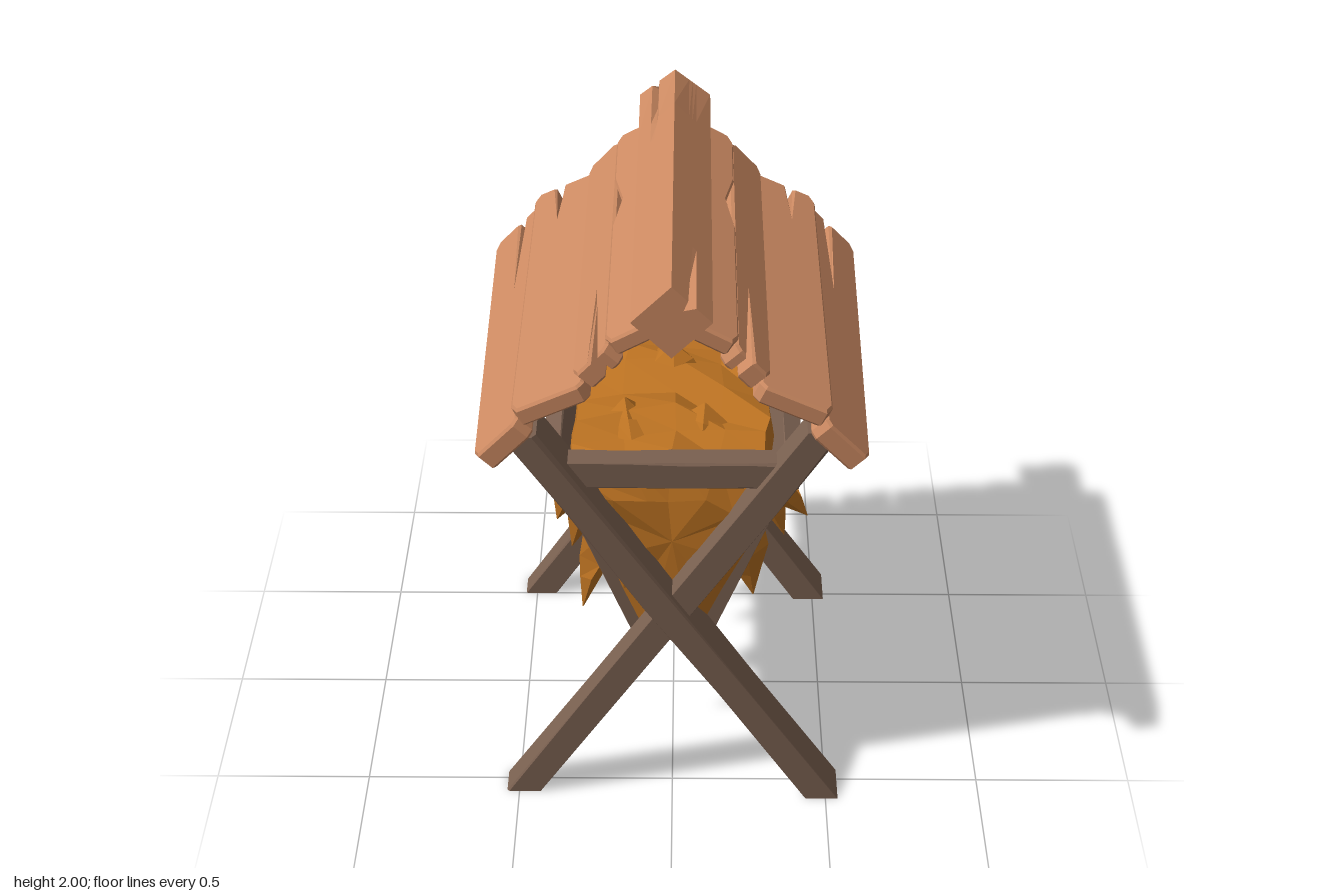
import * as THREE from 'three';

const V = (x, y, z) => new THREE.Vector3(x, y, z);
const mat = (color) => new THREE.MeshStandardMaterial({ color, flatShading: true });
const roofMat = mat(0xcc8a62), frameMat = mat(0x7a6050), hayMat = mat(0xbd7322);

let seed = 7;
const rnd = () => (seed = (seed * 16807) % 2147483647) / 2147483647;
const jit = (a) => (rnd() * 2 - 1) * a;

// Closed faceted skin over rings with equal point counts, always facing outwards
function loft(rings) {
  const tris = [], n = rings[0].length;
  for (let i = 0; i < rings.length - 1; i++) for (let j = 0; j < n; j++) {
    const k = (j + 1) % n, a = rings[i], b = rings[i + 1];
    tris.push([a[j], a[k], b[k]], [a[j], b[k], b[j]]);
  }
  const cap = (r, flip) => {
    const c = r.reduce((s, p) => s.add(p), V(0, 0, 0)).divideScalar(n);
    r.forEach((p, j) => {
      const q = r[(j + 1) % n];
      tris.push(flip ? [c, q, p] : [c, p, q]);
    });
  };
  cap(rings[0], true);
  cap(rings[rings.length - 1], false);
  const o = rings[0][0];
  let vol = 0;
  for (const [a, b, c] of tris)
    vol += a.clone().sub(o).dot(b.clone().sub(o).cross(c.clone().sub(o)));
  const pts = tris.flatMap(([a, b, c]) => (vol < 0 ? [a, c, b] : [a, b, c]));
  const g = new THREE.BufferGeometry().setFromPoints(pts);
  g.computeVertexNormals();
  return g;
}

function add(parent, name, geo, material) {
  const m = new THREE.Mesh(geo, material);
  m.name = name;
  parent.add(m);
}

// Timber from p to q with half-axes u and v, and hand-cut chamfers of varying depth
function bar(p, q, u, v, chip = 0.3) {
  const corners = [[1, 1], [-1, 1], [-1, -1], [1, -1]];
  return loft([0, 0.3, 0.55, 0.8, 1].map((t) => {
    const c = p.clone().lerp(q, t), ring = [];
    corners.forEach(([a, b], i) => {
      const k = 0.03 + (rnd() > 0.55 ? rnd() * chip : 0);
      const cut = [[a, b * (1 - k)], [a * (1 - k), b]];
      if (i % 2) cut.reverse();
      for (const [s, w] of cut) ring.push(c.clone().addScaledVector(u, s).addScaledVector(v, w));
    });
    return ring;
  }));
}

// Roof board: a split outline, extruded, sloped from its upper edge (x, y)
// flare widens the back end; splits are [position across, end, length]
function plank(s, { x, y, w, slope, t, half, flare = 0, front = [], back = [], bite }) {
  const c = 0.02, h = half, wb = w + flare;
  const pts = [[c, -h], ...back.flatMap(([u, len]) => [[u - 0.014, -h], [u, -h + len], [u + 0.014, -h]]),
    [wb - c, -h], [wb, -h + c * 2]];
  if (bite) pts.push([w, bite[0]], [w - 0.03, (bite[0] + bite[1]) / 2], [w, bite[1]]);
  pts.push([w, h - c * 2], [w - c, h],
    ...front.flatMap(([u, len]) => [[u + 0.014, h], [u, h - len], [u - 0.014, h]]),
    [c, h], [0, h - c], [0, -h + c]);
  const g = new THREE.ExtrudeGeometry(
    new THREE.Shape(pts.map(([u, z]) => new THREE.Vector2(u * s, z))),
    { depth: t - 0.016, bevelEnabled: true, bevelThickness: 0.008, bevelSize: 0.008, bevelOffset: -0.008, bevelSegments: 1 });
  g.translate(0, 0, 0.008).rotateX(Math.PI / 2).rotateZ(-s * slope).translate(s * x, y, 0);
  return g;
}

// Hanging hay clump: narrow root, wide belly, sharp tip
function tuft(root, belly, tip, depth, width) {
  const ring = (p, k) => [0, 1, 2, 3, 4].map((i) => {
    const a = (i / 5) * Math.PI * 2 + 0.3;
    return V(p.x + Math.cos(a) * depth * k, p.y + jit(0.04) * k, p.z + Math.sin(a) * width * k * (1 + jit(0.2)));
  });
  return loft([ring(root, 0.5), ring(root.clone().lerp(belly, 0.55), 0.9), ring(belly, 1),
    ring(belly.clone().lerp(tip, 0.5), 0.55), ring(tip, 0.02)]);
}

export function createModel() {
  const model = new THREE.Group();
  model.name = 'hayFeeder';
  const group = (name) => {
    const g = new THREE.Group();
    g.name = name;
    model.add(g);
    return g;
  };

  // Crossed legs, one stout and one thinner at each end, plus the upper tie
  const legs = group('legs');
  for (const [name, z] of [['front', 0.517], ['back', -0.547]]) {
    add(legs, name + 'StoutLeg', bar(V(0.485, 0, z), V(-0.455, 1.41, z), V(0.055, 0, 0), V(0, 0, 0.077)), frameMat);
    add(legs, name + 'ThinLeg', bar(V(-0.485, 0, z), V(0.455, 1.41, z), V(0.055, 0, 0), V(0, 0, 0.048)), frameMat);
    add(legs, name + 'Tie', bar(V(-0.38, 1.235, z - 0.02), V(0.38, 1.235, z - 0.02), V(0, 0.045, 0), V(0, 0, 0.04)), frameMat);
  }

  // Slanted side racks with three uprights between two rails
  const rack = group('rack');
  for (const s of [1, -1]) {
    const along = V(s * 0.27, 0.67, 0).normalize(), out = V(s * along.y, -Math.abs(along.x), 0);
    const at = (y, z) => V(s * (0.095 + (y - 0.55) * 0.4), y, z);
    for (const [y, hw, name] of [[1.19, 0.05, 'rackTopRail'], [0.55, 0.035, 'rackBottomRail']])
      add(rack, name, bar(at(y, 0.43), at(y, -0.49), along.clone().multiplyScalar(hw), out.clone().multiplyScalar(0.03), 0.12), frameMat);
    for (const z of [0.388, -0.03, -0.45])
      add(rack, 'rackUpright', bar(at(0.55, z), at(1.19, z), V(0.03, 0, 0), V(0, 0, 0.04), 0.15), frameMat);
  }
  for (const z of [0.388, 0.17, -0.03, -0.24, -0.45])
    add(rack, 'floorSlat', bar(V(-0.1, 0.54, z), V(0.1, 0.54, z), V(0, 0.02, 0), V(0, 0, 0.035), 0.1), frameMat);

  // Hay heap: V-shaped cross-sections with a ragged top
  const hay = group('hay');
  const half = [[0.08, 0.58], [0.16, 0.74], [0.23, 0.92], [0.32, 1.13], [0.3, 1.22], [0.15, 1.24]];
  const outline = [...half, [0, 1.26], ...half.map(([x, y]) => [-x, y]).reverse()];
  const sections = [[0.485, 0.6], [0.45, 0.96], [0.3, 1], [0.23, 1.03], [0.08, 0.98], [-0.1, 1.04],
    [-0.22, 0.98], [-0.35, 1.04], [-0.46, 0.96], [-0.49, 0.6]];
  add(hay, 'hayHeap', loft(sections.map(([z, k]) => outline.map(([x, y]) =>
    V(x * Math.min(k, 1) + jit(0.015), 0.9 + (y - 0.9) * k + (y > 1.2 ? jit(0.03) : 0), z + jit(0.012))))), hayMat);

  // Clumps bulging out between the uprights: tip x, tip y, z, half width
  const tips = [
    [0.43, 1.06, -0.2, 0.07], [0.43, 0.85, 0.22, 0.09], [0.35, 0.72, -0.33, 0.07], [0.29, 0.53, -0.25, 0.09],
    [0.26, 0.58, 0.28, 0.07], [0.22, 0.54, 0.06, 0.06], [0.36, 0.74, 0.15, 0.11], [0.36, 0.72, -0.14, 0.07],
    [-0.37, 0.85, 0.2, 0.1], [-0.37, 0.87, -0.25, 0.1], [-0.29, 0.565, 0.28, 0.07], [-0.28, 0.58, -0.31, 0.08],
    [-0.25, 0.56, 0.06, 0.06], [-0.33, 0.7, -0.13, 0.07], [-0.33, 0.68, 0.15, 0.08]];
  for (const [x, y, z, w] of tips) {
    const s = Math.sign(x), top = Math.min(y + 0.5, 1.18), mid = y + (top - y) * 0.45;
    const slope = 0.095 + (mid - 0.55) * 0.4;
    add(hay, 'hayClump', tuft(V(s * 0.2, top, z), V(s * (slope + 0.04), mid, z), V(x, y, z + jit(0.03)), 0.07, w), hayMat);
  }
  for (const [x, z, y] of [[-0.29, -0.36, 1.335], [0.1, 0.23, 1.3], [0, -0.1, 1.31], [0.2, -0.35, 1.31], [-0.15, 0.2, 1.3]])
    add(hay, 'hayTopTuft', tuft(V(x * 0.6, 1.1, z), V(x * 0.85, 1.2, z), V(x, y, z), 0.12, 0.11), hayMat);

  // Four split boards down each slope
  const roof = group('roof');
  const boards = [
    { x: 0.07, y: 1.835, w: 0.14, slope: 0.5, t: 0.055, half: 0.65, bite: [-0.35, -0.04] },
    { x: 0.185, y: 1.76, w: 0.15, slope: 0.82, t: 0.07, half: 0.65, front: [[0.06, 0.4]] },
    { x: 0.255, y: 1.64, w: 0.235, slope: 0.43, t: 0.06, half: 0.663, back: [[0.14, 0.22]] },
    { x: 0.45, y: 1.515, w: 0.19, slope: 0.8, t: 0.07, half: 0.663, flare: 0.035, back: [[0.09, 0.45]] }];
  for (const s of [1, -1]) for (const b of boards) add(roof, s > 0 ? 'leftRoofBoard' : 'rightRoofBoard', plank(s, b), roofMat);

  // Ridge beam set on edge, with a crack in each upper face and a worn back end
  const ridge = [[0.73, 0.04, 0, 0], [0.4, 0, 0, 0], [-0.3, 0, 0, 0], [-0.43, 0, 0.012, 0], [-0.73, 0, 0.045, 0.025]];
  add(roof, 'ridgeBeam', loft(ridge.map(([z, f, b, drop]) => {
    const r = 0.115, cy = 1.885;
    const face = (s, k, d) => V(s * (r * k - d * 0.7), cy + r * (1 - k) - d * 0.7 - drop * (1 - k), z);
    return [V(0, cy + r - drop, z), face(1, 0.4, 0), face(1, 0.5, f), face(1, 0.6, 0), V(r, cy, z),
      V(0, cy - r, z), V(-r, cy, z), face(-1, 0.65, 0), face(-1, 0.55, b), face(-1, 0.45, 0)];
  })), roofMat);

  return model;
}
